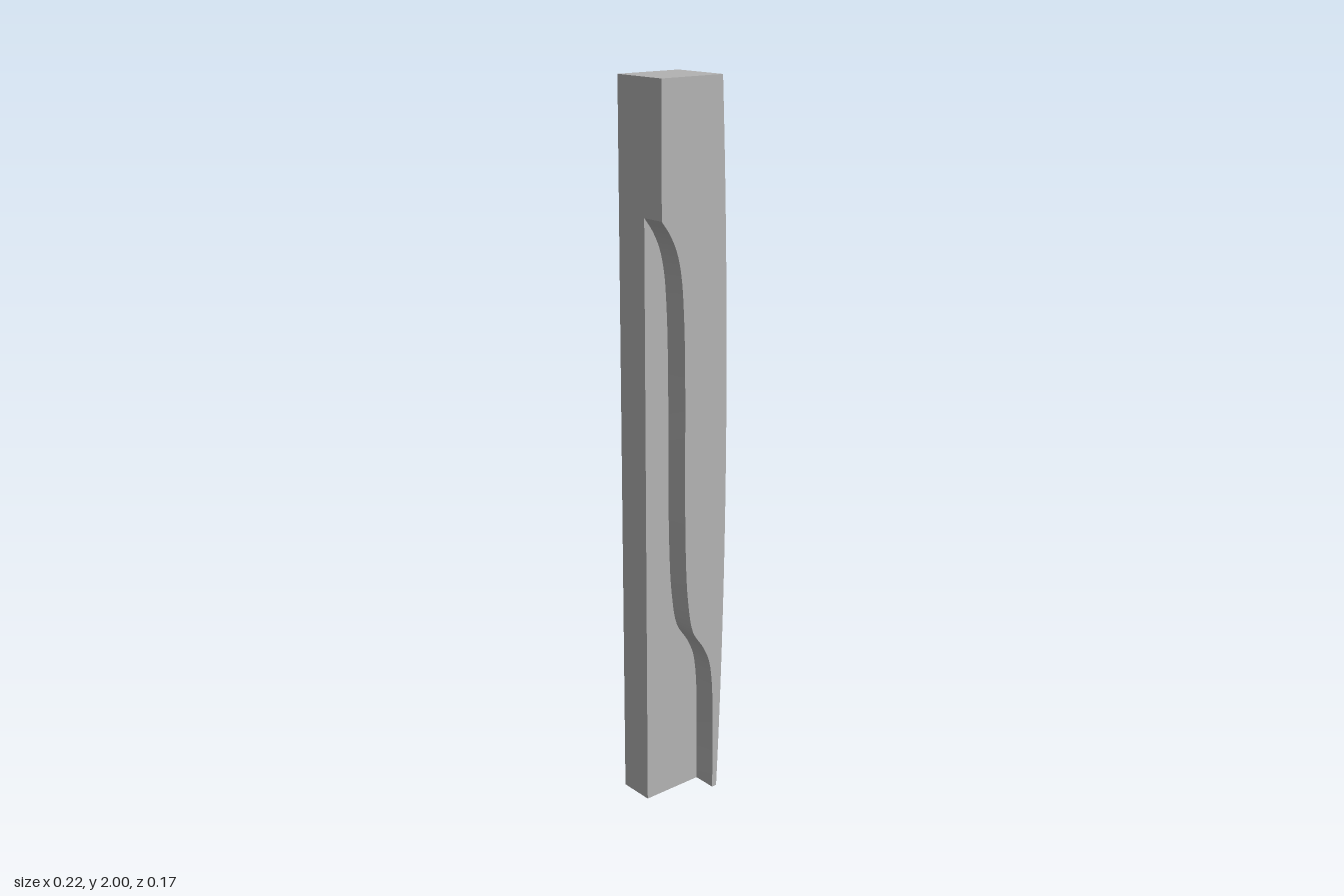
import * as THREE from 'three';
import { toCreasedNormals } from 'three/addons/utils/BufferGeometryUtils.js';

const T = 0.006;                       // sheet thickness
const LEFT = -0.111, RIGHT = 0.087;    // ends of the top and bottom plates
const BACK = -0.086, FRONT = 0.085;    // outer depth
const STEP = 0.016;                    // front face of the recessed panel
const HEIGHT = 2, NOTCH = 1.655;       // where the recess starts on the side wall

export function createModel() {
  const group = new THREE.Group();
  const steel = new THREE.MeshStandardMaterial({ color: 0xb2b2b2 });
  steel.name = 'grey steel';

  const sheet = (name, points, depth) => {
    const shape = new THREE.Shape(points.map(([x, y]) => new THREE.Vector2(x, y)));
    const geometry = new THREE.ExtrudeGeometry(shape, { depth, bevelEnabled: false });
    const mesh = new THREE.Mesh(toCreasedNormals(geometry, 0.5), steel);
    mesh.name = name;
    group.add(mesh);
    return mesh;
  };

  // S-shaped line where the front sheet steps back, from top to bottom
  const line = new THREE.CatmullRomCurve3([
    [LEFT, NOTCH], [-0.085, 1.62], [-0.062, 1.573], [-0.047, 1.51], [-0.038, 1.4],
    [-0.034, 1.25], [-0.033, 1.0], [-0.031, 0.77], [-0.022, 0.61], [-0.003, 0.51],
    [0.035, 0.452], [0.056, 0.405], [0.067, 0.335], [0.071, 0.22], [0.072, 0],
  ].map(([x, y]) => new THREE.Vector3(x, y, 0)));
  const N = 70;
  const step = [], inner = [];
  for (let i = 0; i <= N; i++) {
    const p = line.getPoint(i / N), t = line.getTangent(i / N);
    step.push([p.x, p.y]);
    inner.push([p.x - t.y * T, Math.max(0, p.y + t.x * T)]);
  }

  // bowed free edge of the front panel, from bottom to top
  const bow = [];
  for (let i = 0; i <= 32; i++) {
    const u = i / 16 - 1;
    bow.push([RIGHT + 0.024 * (1 - u * u), (i / 32) * HEIGHT]);
  }

  sheet('frontPanel', [...step, ...bow, [LEFT, HEIGHT]], T).position.z = FRONT - T;
  sheet('recessedPanel', [[LEFT, 0], ...[...step].reverse()], T).position.z = STEP - T;
  sheet('stepFlange', [...step, ...inner.reverse()], FRONT - STEP + T).position.z = STEP - T;

  // side wall, narrower below the step
  const wall = sheet('sideWall', [
    [BACK, 0], [STEP, 0], [STEP, NOTCH], [FRONT, NOTCH], [FRONT, HEIGHT], [BACK, HEIGHT],
  ], T);
  wall.rotation.y = -Math.PI / 2;
  wall.position.x = LEFT + T;

  // end plates, the lower one following the stepped footprint
  const top = sheet('topPlate', [[LEFT, BACK], [RIGHT, BACK], [RIGHT, FRONT], [LEFT, FRONT]], T);
  top.position.y = HEIGHT;
  const bottom = sheet('bottomPlate', [
    [LEFT, BACK], [RIGHT, BACK], [RIGHT, FRONT], [0.072, FRONT], [0.072, STEP], [LEFT, STEP],
  ], T);
  bottom.position.y = T;
  for (const plate of [top, bottom]) plate.rotation.x = Math.PI / 2;

  return group;
}
